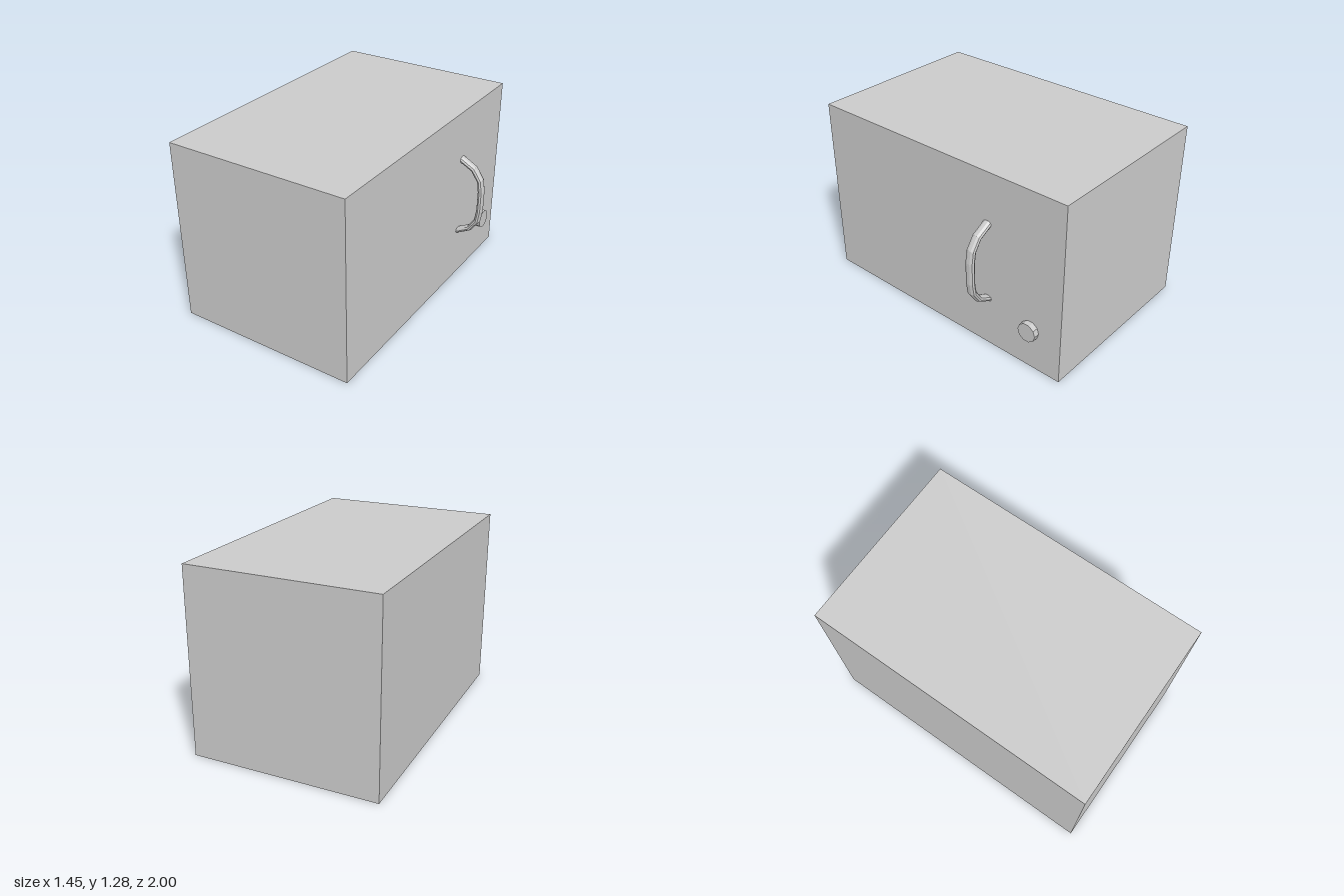
import * as THREE from 'three';

// Straight-sided path whose tube rings sit exactly on the corner points
class CornerPath extends THREE.Curve {
  constructor(points) {
    super();
    this.points = points;
  }
  getPoint(t, target = new THREE.Vector3()) {
    const f = t * (this.points.length - 1);
    const i = Math.min(Math.floor(f), this.points.length - 2);
    return target.lerpVectors(this.points[i], this.points[i + 1], f - i);
  }
  getPointAt(t, target) {
    return this.getPoint(t, target);
  }
  getTangentAt(t, target = new THREE.Vector3()) {
    const p = this.points, last = p.length - 1, i = Math.round(t * last);
    target.set(0, 0, 0);
    if (i > 0) target.add(p[i].clone().sub(p[i - 1]).normalize());
    if (i < last) target.add(p[i + 1].clone().sub(p[i]).normalize());
    return target.normalize();
  }
}

export function createModel() {
  const model = new THREE.Group();
  const material = new THREE.MeshStandardMaterial({ color: 0xcccccc, flatShading: true });
  const openMaterial = material.clone();
  openMaterial.side = THREE.DoubleSide;

  const add = (name, geometry, mat, x, y, z) => {
    const mesh = new THREE.Mesh(geometry, mat);
    mesh.name = name;
    mesh.position.set(x, y, z);
    model.add(mesh);
  };

  // Plain block body
  add('body', new THREE.BoxGeometry(1.28, 1.28, 2), material, -0.09, 0.64, 0);

  // Bowed handle: half profile mirrored about its middle, wider than thick
  const half = [[0.53, 0.29], [0.642, 0.23], [0.693, 0.155], [0.705, 0.075]];
  const corners = [
    ...half.map(([x, y]) => new THREE.Vector3(x, y, 0)),
    ...half.map(([x, y]) => new THREE.Vector3(x, -y, 0)).reverse(),
  ];
  const handle = new THREE.TubeGeometry(new CornerPath(corners), corners.length - 1, 0.021, 10, false);
  handle.scale(1, 1, 1.57);
  add('handle', handle, openMaterial, 0, 0.643, -0.42);

  // Short round knob below the handle
  const knob = new THREE.CylinderGeometry(0.067, 0.067, 0.06, 10);
  knob.rotateZ(-Math.PI / 2);
  add('knob', knob, material, 0.56, 0.292, -0.768);

  return model;
}
